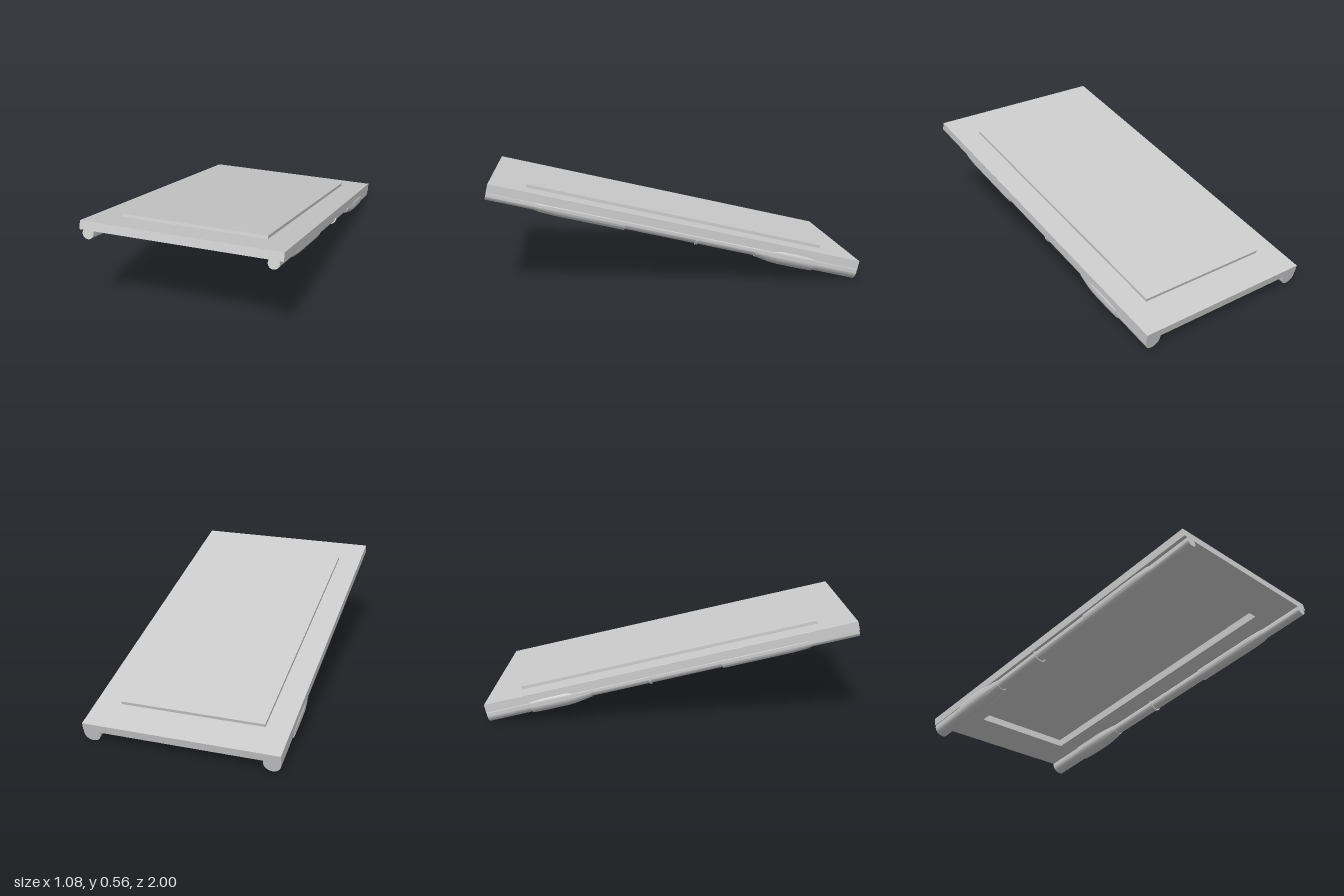
import * as THREE from 'three';
import { toCreasedNormals } from 'three/addons/utils/BufferGeometryUtils.js';

const LENGTH = 2.033, WIDTH = 1.066, THICK = 0.046;

function rectangle(PathType, w, l) {
  const p = new PathType();
  p.moveTo(-w / 2, -l / 2);
  p.lineTo(w / 2, -l / 2);
  p.lineTo(w / 2, l / 2);
  p.lineTo(-w / 2, l / 2);
  p.closePath();
  return p;
}

export function createModel() {
  const model = new THREE.Group();
  model.name = 'slopedBoard';
  const material = new THREE.MeshStandardMaterial({ color: 0xcccccc });
  const add = (name, geometry, x, y, z) => {
    const mesh = new THREE.Mesh(geometry, material);
    mesh.name = name;
    mesh.position.set(x, y, z);
    model.add(mesh);
  };

  // Frame: a flat board with a rectangular opening
  const outline = rectangle(THREE.Shape, WIDTH, LENGTH);
  outline.holes.push(rectangle(THREE.Path, 0.645, 1.63));
  const frame = new THREE.ExtrudeGeometry(outline, { depth: THICK, bevelEnabled: false });
  frame.rotateX(Math.PI / 2);
  add('frame', frame, 0, 0, 0);

  // Raised panel closing the opening from above
  add('panel', new THREE.BoxGeometry(0.79, 0.017, 1.65), -0.004, 0.0085, -0.002);

  // Stepped handle rods under both long edges: [radius, distance along the board]
  const profile = [
    [0, -LENGTH / 2], [0.046, -LENGTH / 2], [0.046, -0.773], // butt
    [0.052, -0.773], [0.054, -0.7], [0.054, -0.58], [0.05, -0.53], [0.037, -0.445], // thick grip
    [0.033, -0.445], [0.033, -0.125], [0.04, -0.125], [0.04, -0.113], [0.033, -0.113], // ring
    [0.033, 0.274], [0.04, 0.274], [0.04, 0.65], [0.036, 0.735], [0.03, 0.765], // slim grip
    [0.03, LENGTH / 2], [0, LENGTH / 2], // tip
  ].map(([r, s]) => new THREE.Vector2(r, s));
  const rod = toCreasedNormals(new THREE.LatheGeometry(profile, 40).rotateX(Math.PI / 2), 0.6);
  add('leftRod', rod, 0.485, -0.061, 0);
  add('rightRod', rod, -0.485, -0.061, 0);

  // Tilt the whole assembly so that the front end is raised
  model.rotation.x = -0.2283;
  model.position.set(0, 0.341, -0.01);
  const group = new THREE.Group();
  group.name = 'model';
  group.add(model);
  return group;
}
